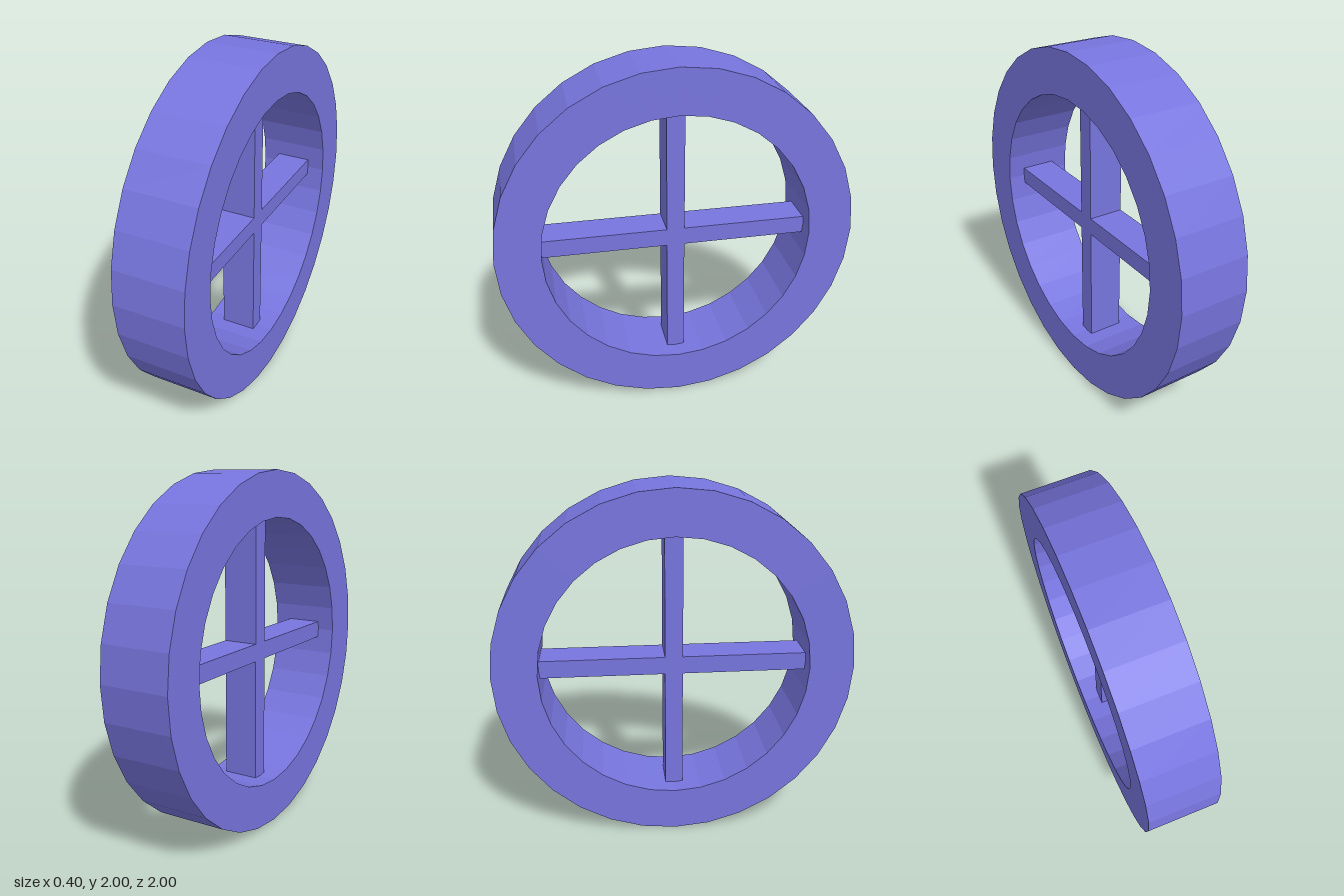
import * as THREE from 'three';

export function createModel() {
  const group = new THREE.Group();
  const violet = new THREE.MeshStandardMaterial({ color: 0x7775de, flatShading: true });
  violet.name = 'violet';

  const add = (name, geometry) => {
    const mesh = new THREE.Mesh(geometry, violet);
    mesh.name = name;
    mesh.position.y = 1;
    group.add(mesh);
    return mesh;
  };

  // Rim: rectangular section turned in 32 flat facets around the x axis
  const section = [[0.75, -0.2], [1, -0.2], [1, 0.2], [0.75, 0.2], [0.75, -0.2]]
    .map(([r, y]) => new THREE.Vector2(r, y));
  add('rim', new THREE.LatheGeometry(section, 32).rotateZ(Math.PI / 2));

  // Crossed spokes: one full bar, and two half bars meeting its sides
  add('verticalSpoke', new THREE.BoxGeometry(0.2, 1.5, 0.1));
  for (const side of [-1, 1]) {
    const spoke = add(side > 0 ? 'frontSpoke' : 'backSpoke', new THREE.BoxGeometry(0.2, 0.1, 0.7));
    spoke.position.z = side * 0.4;
  }

  return group;
}
